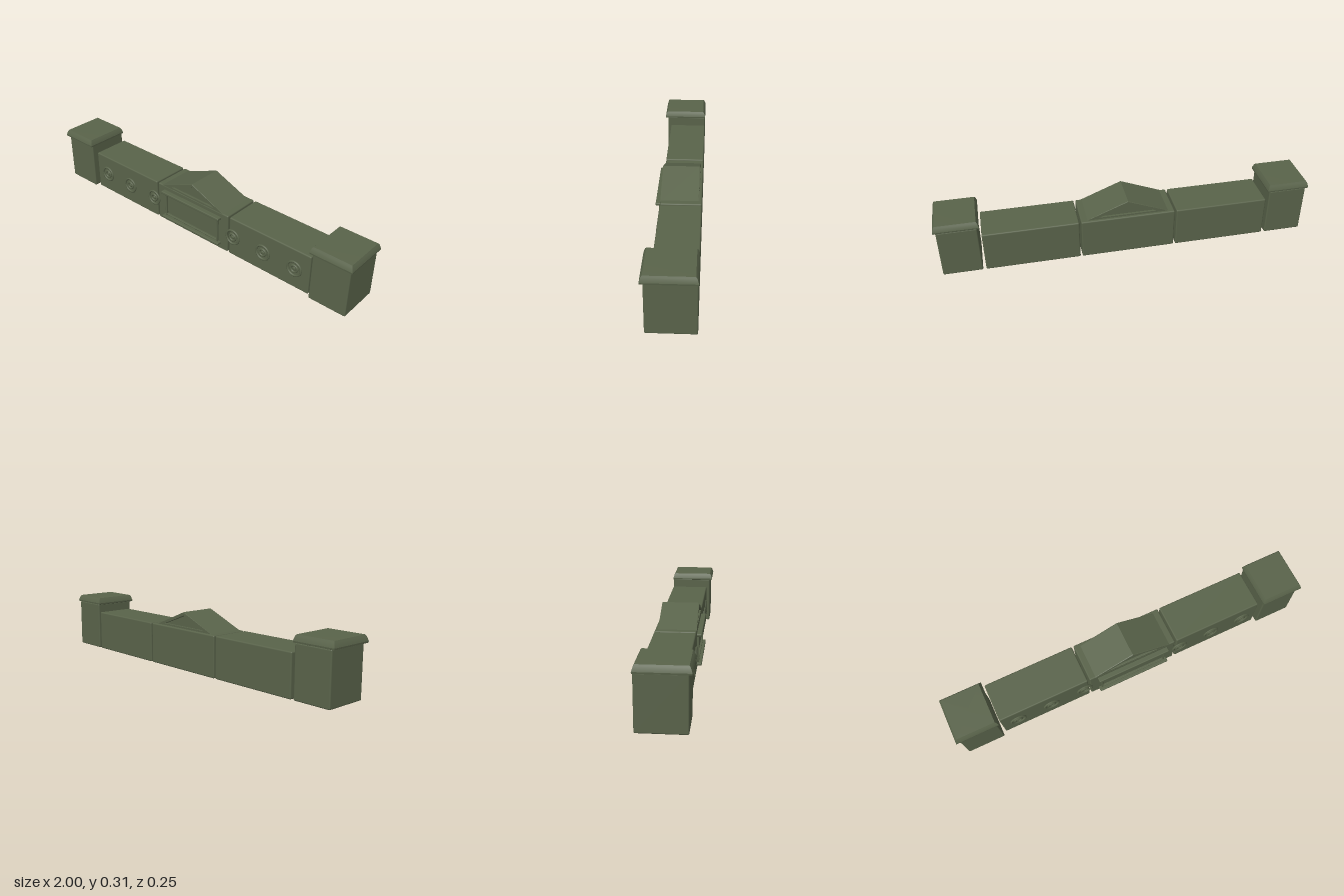
import * as THREE from 'three';
import { RoundedBoxGeometry } from 'three/addons/geometries/RoundedBoxGeometry.js';
import { toCreasedNormals } from 'three/addons/utils/BufferGeometryUtils.js';

export function createModel() {
  const model = new THREE.Group();
  model.name = 'stoneWall';
  const stone = new THREE.MeshStandardMaterial({ color: 0x59634a });
  stone.name = 'mossyStone';

  const add = (name, geometry, x = 0, y = 0, z = 0) => {
    const mesh = new THREE.Mesh(geometry, stone);
    mesh.name = name;
    mesh.position.set(x, y, z);
    model.add(mesh);
    return mesh;
  };
  // Softly rounded block given by its extents
  const block = (name, x0, x1, y0, y1, z0, z1, r = 0.007) =>
    add(name, new RoundedBoxGeometry(x1 - x0, y1 - y0, z1 - z0, 2, r),
      (x0 + x1) / 2, (y0 + y1) / 2, (z0 + z1) / 2);

  // Chamfered pillar cap: square rings stacked as a four-sided lathe
  const capGeometry = () => {
    const profile = [[0, 0.266], [0.105, 0.266], [0.114, 0.269], [0.115, 0.277],
      [0.108, 0.3], [0.103, 0.307], [0, 0.308]]
      .map(([r, y]) => new THREE.Vector2(r * Math.SQRT2, y));
    const g = new THREE.LatheGeometry(profile, 4);
    g.rotateY(Math.PI / 4);
    g.scale(1, 1, 1.085);
    return toCreasedNormals(g, 0.4);
  };

  for (const s of [-1, 1]) {
    const side = s > 0 ? 'left' : 'right';
    const span = (a, b) => (s > 0 ? [a, b] : [-b, -a]);

    // End pillar with cap
    block(side + 'Pillar', ...span(0.78, 0.986), 0, 0.27, -0.123, 0.111);
    add(side + 'PillarCap', capGeometry(), s * 0.885, 0, 0);

    // Low wall
    block(side + 'Wall', ...span(0.262, 0.764), 0, 0.224, -0.123, 0.091);

    // Round ornaments: outer ring, inner ring and button
    for (const x of [0.287, 0.482, 0.675]) {
      add(side + 'RosetteRing', new THREE.TorusGeometry(0.04, 0.006, 8, 32), s * x, 0.113, 0.092);
      add(side + 'RosetteInnerRing', new THREE.TorusGeometry(0.019, 0.006, 8, 24), s * x, 0.113, 0.092);
      const button = add(side + 'RosetteButton', new THREE.SphereGeometry(0.011, 16, 10), s * x, 0.113, 0.091);
      button.scale.z = 0.5;
    }
  }

  // Central block
  block('centreBlock', -0.252, 0.252, 0, 0.224, -0.123, 0.091);

  // Framed panel on the front
  for (const y of [0.036, 0.192]) {
    block('panelRail', -0.206, 0.206, y - 0.008, y + 0.008, 0.085, 0.117, 0.005);
  }
  for (const y of [0.051, 0.177]) {
    block('panelInnerRail', -0.188, 0.188, y - 0.004, y + 0.004, 0.085, 0.102, 0.003);
  }
  for (const x of [-0.186, 0.186]) {
    block('panelStile', x - 0.005, x + 0.005, 0.042, 0.186, 0.085, 0.102, 0.003);
  }

  // Pediment: triangular frame around a recessed core
  const triangle = (C, w, y0, y1) => {
    const t = new C();
    t.moveTo(-w, y0);
    t.lineTo(w, y0);
    t.lineTo(0, y1);
    t.closePath();
    return t;
  };
  const frame = triangle(THREE.Shape, 0.218, 0.223, 0.311);
  frame.holes.push(triangle(THREE.Path, 0.155, 0.233, 0.294));
  add('pedimentFrame', new THREE.ExtrudeGeometry(frame, {
    depth: 0.192, bevelEnabled: true, bevelSize: 0.002, bevelThickness: 0.004, bevelSegments: 1,
  }), 0, 0, -0.105);
  add('pedimentCore', new THREE.ExtrudeGeometry(triangle(THREE.Shape, 0.175, 0.228, 0.299), {
    depth: 0.178, bevelEnabled: false,
  }), 0, 0, -0.098);

  return model;
}
